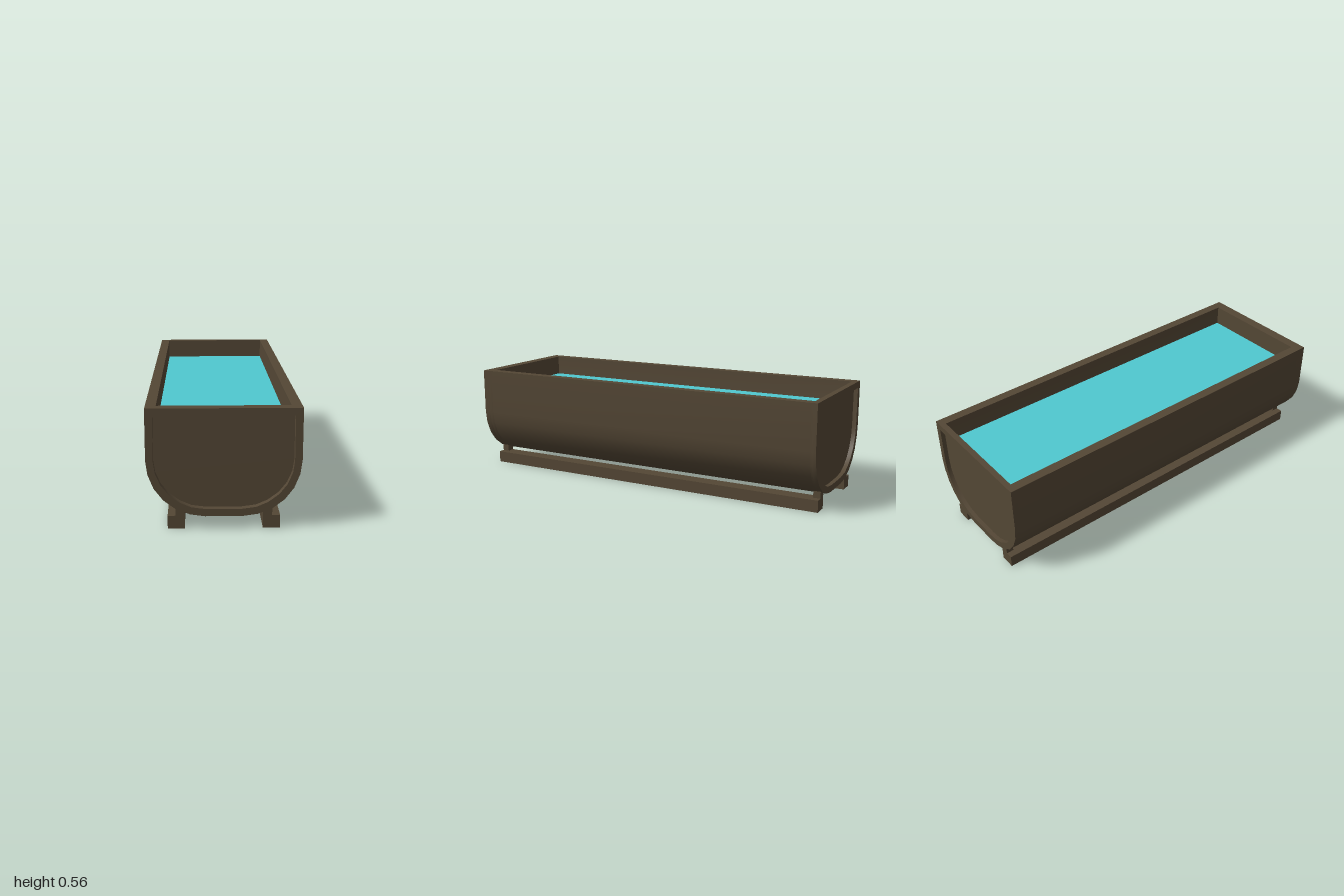
import * as THREE from 'three';
import { toCreasedNormals } from 'three/addons/utils/BufferGeometryUtils.js';

// Half cross-sections, from the top edge down to the flat bottom
const OUTER = [[0.352, 0.565], [0.352, 0.325], [0.343, 0.26], [0.317, 0.195], [0.275, 0.14], [0.22, 0.098], [0.155, 0.072], [0.087, 0.062]];
const INSET = [[0.318, 0.53], [0.318, 0.32], [0.31, 0.266], [0.287, 0.212], [0.25, 0.165], [0.2, 0.128], [0.147, 0.105], [0.08, 0.096]];
const INNER = INSET.map(([x, y], i) => [x * 0.953, i === 0 ? 0.565 : y + 0.014]);

// Mirror a half section into a full outline, left top to right top
const outline = (half) => [
  ...half.map(([x, y]) => new THREE.Vector2(-x, y)),
  ...half.slice().reverse().map(([x, y]) => new THREE.Vector2(x, y)),
];

export function createModel() {
  const group = new THREE.Group();
  group.name = 'waterTrough';
  const wood = new THREE.MeshStandardMaterial({ color: 0x544735 });
  wood.name = 'dark brown wood';
  const blue = new THREE.MeshStandardMaterial({ color: 0x50c8d0, side: THREE.DoubleSide });
  blue.name = 'turquoise water';

  const add = (name, geometry, material, x = 0, y = 0, z = 0) => {
    const mesh = new THREE.Mesh(geometry, material);
    mesh.name = name;
    mesh.position.set(x, y, z);
    group.add(mesh);
  };
  const extrude = (name, shape, z0, z1) => {
    const geo = new THREE.ExtrudeGeometry(shape, { depth: z1 - z0, bevelEnabled: false });
    add(name, toCreasedNormals(geo, 0.6), wood, 0, 0, z0);
  };

  // Rounded U-shaped wall, open at the top
  const wall = new THREE.Shape([...outline(OUTER), ...outline(INNER).reverse()]);
  extrude('basinWall', wall, -0.97, 0.945);

  // Solid ends, each recessed behind a raised lip
  const end = new THREE.Shape(outline(OUTER));
  const lip = new THREE.Shape(outline(OUTER));
  lip.holes.push(new THREE.Path(outline(INSET)));
  extrude('frontPanel', end, 0.945, 0.967);
  extrude('frontLip', lip, 0.967, 1);
  extrude('backPanel', end, -0.978, -0.97);
  extrude('backLip', lip, -1, -0.978);

  // Water surface, a little below the rim
  const water = new THREE.PlaneGeometry(0.606, 1.915).rotateX(-Math.PI / 2);
  add('water', water, blue, 0, 0.457, -0.0125);

  // Ground rails with short posts at both ends
  for (const [side, s] of [['left', 1], ['right', -1]]) {
    add(`${side}Rail`, new THREE.BoxGeometry(0.078, 0.062, 1.98), wood, s * 0.217, 0.031, 0);
    for (const [place, z] of [['Front', 0.971], ['Back', -0.971]]) {
      add(`${side}${place}Post`, new THREE.BoxGeometry(0.042, 0.04, 0.038), wood, s * 0.199, 0.08, z);
    }
  }
  return group;
}
